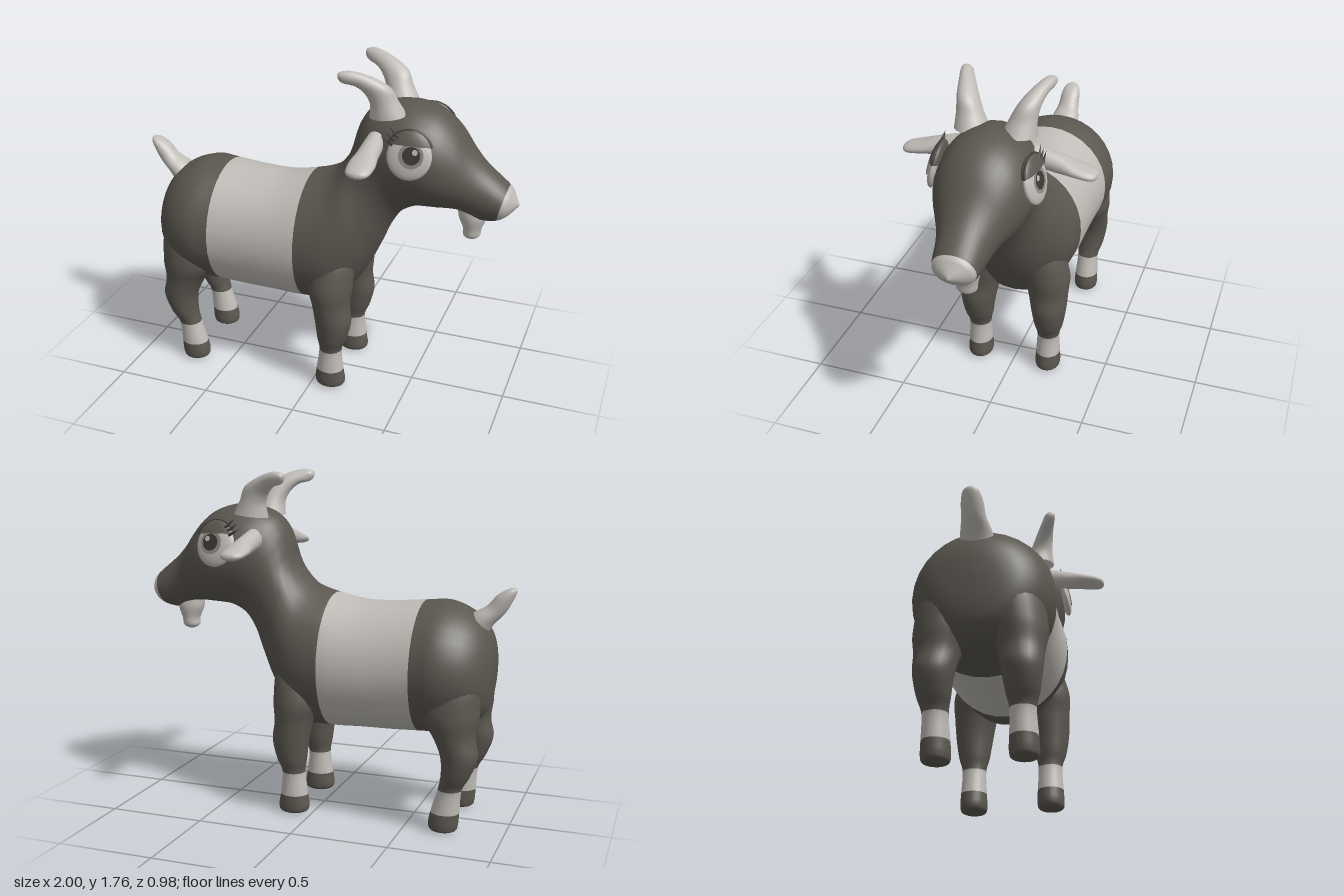
import * as THREE from 'three';

const mat = (name, color) => Object.assign(new THREE.MeshStandardMaterial({ color }), { name });
const dark = mat('darkCoat', 0x5b5750);
const light = mat('lightCoat', 0xc0bcb7);
const grey = mat('irisGrey', 0x8c8882);
const black = mat('pupilDark', 0x3c3936);
black.side = dark.side = light.side = grey.side = THREE.DoubleSide;

// Smooth loft through elliptical sections.
// Row: [x, y of left edge, x, y of right edge, half width in z, centre z], along the direction of travel.
// breaks: row indices where the next material starts.
function loft(name, rows, mats, breaks = [], steps = 5, sides = 32) {
  const full = rows.map(r => [...r, 0].slice(0, 6));
  const at = i => full[Math.min(Math.max(i, 0), full.length - 1)];
  const pos = [], index = [];
  const rings = (full.length - 1) * steps + 1;
  for (let k = 0; k < rings; k++) {
    const i = Math.floor(k / steps), t = k / steps - i;
    const [lx, ly, rx, ry, w, zc] = at(i).map((p1, j) => {
      const p0 = at(i - 1)[j], p2 = at(i + 1)[j], p3 = at(i + 2)[j];
      return p1 + 0.5 * t * (p2 - p0 + t * (2 * p0 - 5 * p1 + 4 * p2 - p3 + t * (3 * (p1 - p2) + p3 - p0)));
    });
    for (let s = 0; s < sides; s++) {
      const a = s / sides * Math.PI * 2, c = Math.cos(a) / 2;
      pos.push((lx + rx) / 2 + (lx - rx) * c, (ly + ry) / 2 + (ly - ry) * c, zc + w * Math.sin(a));
    }
  }
  for (let k = 0; k < rings - 1; k++) for (let s = 0; s < sides; s++) {
    const a = k * sides + s, b = k * sides + (s + 1) % sides;
    index.push(a, b, a + sides, b, b + sides, a + sides);
  }
  const geo = new THREE.BufferGeometry();
  geo.setAttribute('position', new THREE.Float32BufferAttribute(pos, 3));
  geo.setIndex(index);
  geo.computeVertexNormals();
  const ends = [0, ...breaks, full.length - 1], perRow = steps * sides * 6;
  mats.forEach((_, m) => geo.addGroup(ends[m] * perRow, (ends[m + 1] - ends[m]) * perRow, m));
  const mesh = new THREE.Mesh(geo, mats.length > 1 ? mats : mats[0]);
  mesh.name = name;
  return mesh;
}

function part(name, geo, material, x = 0, y = 0, z = 0) {
  const mesh = new THREE.Mesh(geo, material);
  mesh.name = name;
  mesh.position.set(x, y, z);
  return mesh;
}

// Domed eye with upper lid, iris, pupil, glint and lashes
function makeEye() {
  const eye = new THREE.Group();
  eye.name = 'eye';
  const ball = part('eyeWhite', new THREE.SphereGeometry(0.108, 32, 16), light, 0, -0.015);
  ball.scale.set(1, 1.05, 0.27);
  const lid = part('eyelid', new THREE.SphereGeometry(0.112, 32, 12, 0, Math.PI * 2, 0, 1.2), dark, 0, -0.005);
  lid.scale.set(1, 1.08, 0.34);
  const rim = part('eyelidRim', new THREE.TorusGeometry(0.112, 0.005, 6, 32, Math.PI - 0.7), black, 0, 0, 0.006);
  rim.rotation.z = 0.35;
  const iris = part('iris', new THREE.CircleGeometry(0.06, 32), grey, 0.012, -0.008, 0.031);
  const pupil = part('pupil', new THREE.CircleGeometry(0.043, 32), black, 0.014, -0.006, 0.033);
  const glint = part('glint', new THREE.CircleGeometry(0.014, 16), light, 0.03, 0.012, 0.035);
  eye.add(ball, lid, rim, iris, pupil, glint);
  for (let i = 0; i < 3; i++) {
    const lash = part('lash', new THREE.ConeGeometry(0.009, 0.07, 6), black, -0.112 + i * 0.015, 0.05 + i * 0.022, 0.015);
    lash.rotation.z = 1.1 - i * 0.15;
    eye.add(lash);
  }
  eye.position.set(0.505, 1.41, 0.236);
  eye.rotation.set(-0.24, 0.1, 0);
  return eye;
}

export function createModel() {
  const goat = new THREE.Group();
  goat.name = 'goat';

  // Trunk, neck, head and nose in one skin
  goat.add(loft('body', [
    [-0.90, 0.82, -0.90, 0.82, 0],
    [-0.89, 0.94, -0.89, 0.68, 0.13],
    [-0.85, 1.03, -0.86, 0.58, 0.225],
    [-0.77, 1.10, -0.78, 0.51, 0.30],
    [-0.66, 1.14, -0.66, 0.475, 0.338],
    [-0.54, 1.135, -0.54, 0.465, 0.325],
    [-0.38, 1.122, -0.38, 0.458, 0.315],
    [-0.22, 1.12, -0.22, 0.455, 0.315],
    [-0.065, 1.15, -0.065, 0.45, 0.315],
    [0.06, 1.195, 0.10, 0.47, 0.30],
    [0.13, 1.27, 0.225, 0.63, 0.26],
    [0.16, 1.34, 0.305, 0.79, 0.22],
    [0.178, 1.41, 0.36, 0.92, 0.202],
    [0.205, 1.48, 0.42, 1.01, 0.205],
    [0.255, 1.54, 0.50, 1.055, 0.222],
    [0.345, 1.58, 0.56, 1.065, 0.238],
    [0.47, 1.592, 0.62, 1.068, 0.238],
    [0.59, 1.56, 0.67, 1.07, 0.215],
    [0.68, 1.49, 0.72, 1.065, 0.18],
    [0.76, 1.385, 0.775, 1.045, 0.145],
    [0.83, 1.31, 0.83, 1.025, 0.125],
    [0.945, 1.215, 0.90, 1.035, 0.107],
    [0.97, 1.18, 0.95, 1.065, 0.075],
    [1.0, 1.125, 1.0, 1.12, 0],
  ], [dark, light, dark, light], [5, 8, 21]));

  goat.add(loft('tail', [
    [-0.85, 0.97, -0.72, 1.04, 0.08],
    [-0.885, 1.03, -0.79, 1.09, 0.075],
    [-0.94, 1.09, -0.85, 1.125, 0.058],
    [-0.975, 1.15, -0.90, 1.18, 0.052],
    [-0.995, 1.20, -0.95, 1.21, 0.035],
    [-0.985, 1.22, -0.985, 1.22, 0],
  ], [light]));

  goat.add(loft('beard', [
    [0.84, 1.09, 0.70, 1.09, 0.06],
    [0.845, 1.03, 0.705, 1.03, 0.066],
    [0.825, 0.97, 0.73, 0.97, 0.055],
    [0.815, 0.925, 0.735, 0.925, 0.046],
    [0.775, 0.905, 0.775, 0.905, 0],
  ], [light]));

  for (const side of [1, -1]) {
    const half = new THREE.Group();
    half.name = side > 0 ? 'leftSide' : 'rightSide';
    half.scale.z = side;

    // Legs from hoof to shoulder or thigh, with pale socks
    half.add(loft('frontLeg', [
      [0.095, 0.005, 0.095, 0.005, 0, 0.195],
      [0.035, 0.012, 0.165, 0.012, 0.055, 0.195],
      [0.018, 0.04, 0.18, 0.04, 0.067, 0.195],
      [0.025, 0.105, 0.17, 0.105, 0.065, 0.195],
      [0.04, 0.225, 0.16, 0.225, 0.06, 0.195],
      [0.03, 0.30, 0.188, 0.30, 0.078, 0.198],
      [0.018, 0.40, 0.21, 0.40, 0.094, 0.198],
      [0.0, 0.50, 0.20, 0.50, 0.108, 0.19],
      [-0.03, 0.62, 0.21, 0.62, 0.125, 0.175],
      [0.0, 0.78, 0.2, 0.78, 0.10, 0.14],
      [0.1, 0.85, 0.1, 0.85, 0, 0.12],
    ], [dark, light, dark], [3, 4], 5, 24));
    half.add(loft('hindLeg', [
      [-0.70, 0.005, -0.70, 0.005, 0, 0.195],
      [-0.76, 0.012, -0.64, 0.012, 0.055, 0.195],
      [-0.775, 0.04, -0.625, 0.04, 0.067, 0.195],
      [-0.78, 0.105, -0.635, 0.105, 0.065, 0.195],
      [-0.79, 0.225, -0.67, 0.225, 0.06, 0.195],
      [-0.83, 0.30, -0.685, 0.30, 0.078, 0.198],
      [-0.865, 0.40, -0.68, 0.40, 0.094, 0.198],
      [-0.85, 0.50, -0.635, 0.50, 0.108, 0.19],
      [-0.865, 0.62, -0.56, 0.62, 0.135, 0.175],
      [-0.85, 0.78, -0.6, 0.78, 0.12, 0.15],
      [-0.72, 0.88, -0.72, 0.88, 0, 0.12],
    ], [dark, light, dark], [3, 4], 5, 24));

    // Horns sweep back and outward
    half.add(loft('horn', [
      [0.27, 1.53, 0.45, 1.55, 0.085, 0.115],
      [0.275, 1.60, 0.41, 1.62, 0.066, 0.13],
      [0.25, 1.655, 0.375, 1.69, 0.053, 0.15],
      [0.21, 1.69, 0.29, 1.74, 0.042, 0.175],
      [0.16, 1.705, 0.21, 1.765, 0.034, 0.20],
      [0.14, 1.73, 0.165, 1.765, 0.025, 0.21],
      [0.14, 1.755, 0.14, 1.755, 0, 0.215],
    ], [light], [], 5, 20));

    // Ears, lofted upright then laid out sideways
    const ear = loft('ear', [
      [-0.045, 0, 0.045, 0, 0.055],
      [-0.05, 0.06, 0.05, 0.06, 0.05],
      [-0.055, 0.14, 0.055, 0.14, 0.044],
      [-0.066, 0.21, 0.066, 0.21, 0.032],
      [-0.06, 0.28, 0.06, 0.28, 0.025],
      [-0.038, 0.31, 0.038, 0.31, 0.017],
      [0, 0.32, 0, 0.32, 0],
    ], [light], [], 5, 20);
    ear.position.set(0.32, 1.425, 0.175);
    ear.rotation.x = Math.PI / 2 + 0.2;
    half.add(ear, makeEye());
    goat.add(half);
  }
  return goat;
}
